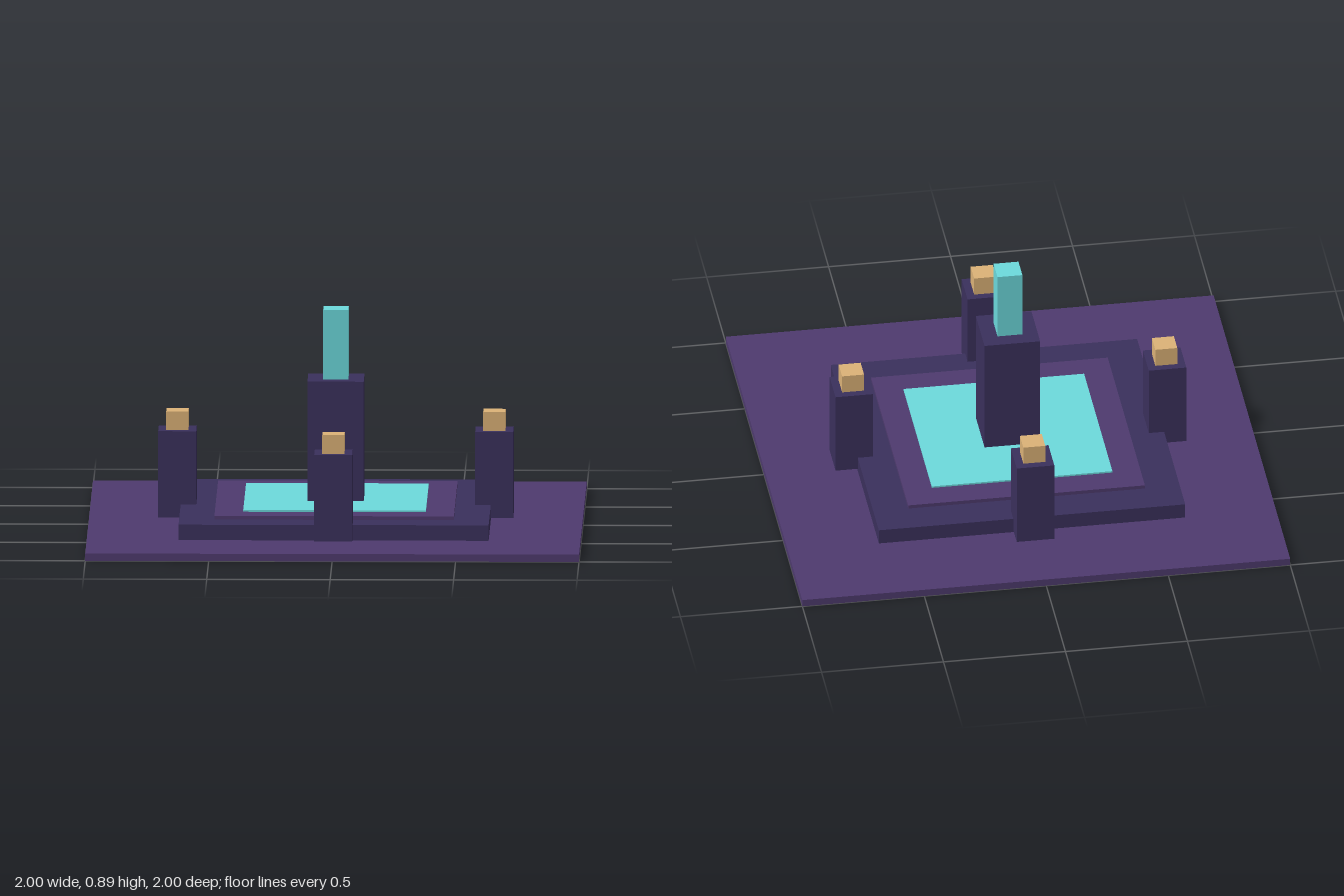
import * as THREE from 'three';

const material = (color) => new THREE.MeshStandardMaterial({ color, flatShading: true });

export function createModel() {
  const model = new THREE.Group();
  model.name = 'shrine';

  const purple = material(0x4e3a6e);
  const indigo = material(0x3a305c);
  const cyan = material(0x6cd9dc);
  const sand = material(0xdcb277);

  // Square block of a given width, spanning bottom to top
  function block(parent, name, width, bottom, top, mat) {
    const mesh = new THREE.Mesh(new THREE.BoxGeometry(width, top - bottom, width), mat);
    mesh.name = name;
    mesh.position.y = (bottom + top) / 2;
    parent.add(mesh);
  }

  // Ground slab and stepped platform
  block(model, 'ground', 2, 0, 0.03, purple);
  block(model, 'platform', 1.256, 0.03, 0.093, indigo);
  block(model, 'upperStep', 0.97, 0.093, 0.108, purple);
  block(model, 'glowingFloor', 0.74, 0.108, 0.115, cyan);

  // Central pedestal with its crystal
  block(model, 'pedestal', 0.228, 0.115, 0.603, indigo);
  block(model, 'crystal', 0.102, 0.603, 0.888, cyan);

  // One lamp pillar in the middle of each platform side
  for (let i = 0; i < 4; i++) {
    const angle = (i * Math.PI) / 2;
    const pillar = new THREE.Group();
    pillar.name = 'lampPillar';
    pillar.position.set(Math.sin(angle) * 0.642, 0, Math.cos(angle) * 0.642);
    block(pillar, 'pillarShaft', 0.154, 0.04, 0.393, indigo);
    block(pillar, 'lamp', 0.09, 0.393, 0.47, sand);
    model.add(pillar);
  }

  return model;
}
